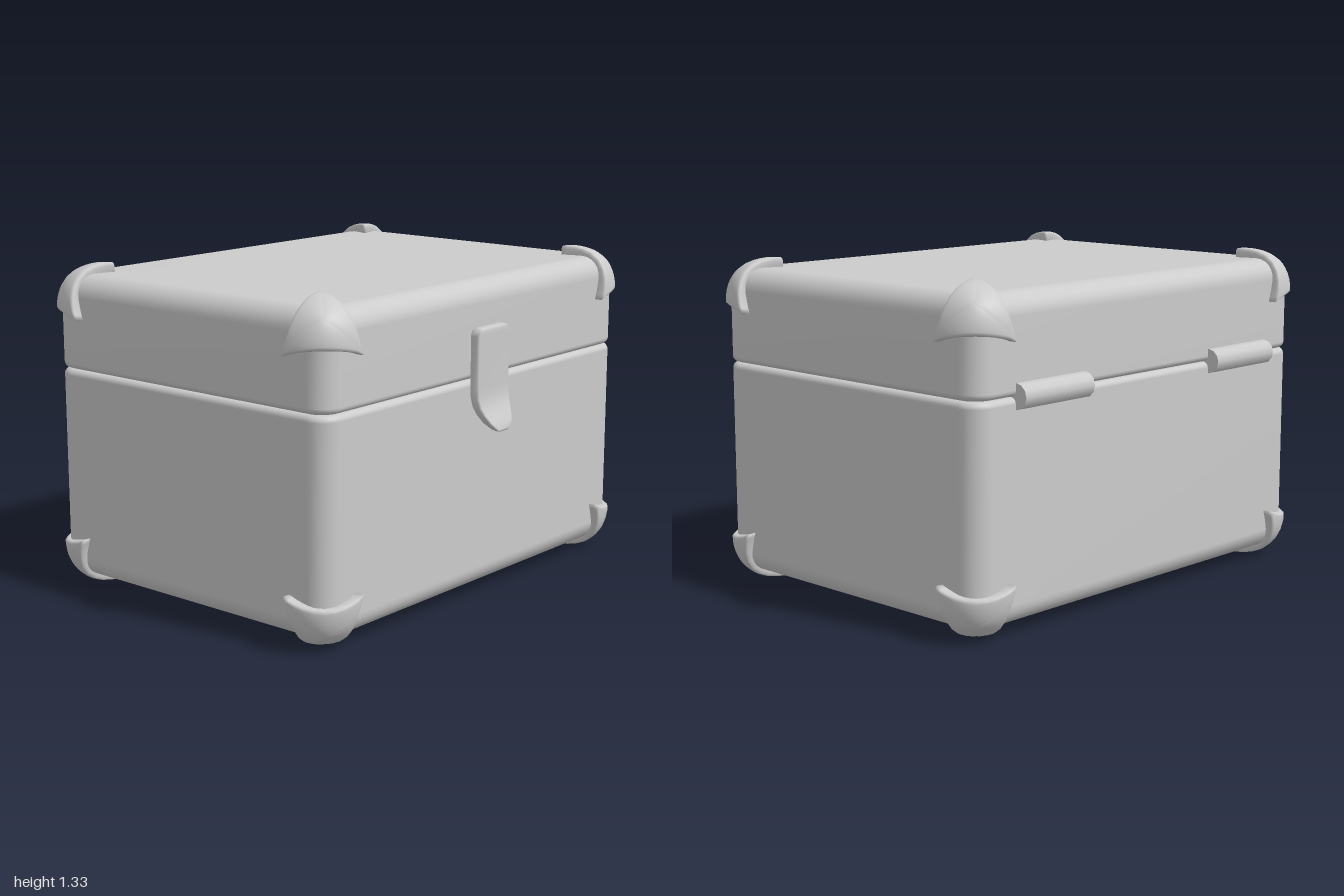
import * as THREE from 'three';

const grey = new THREE.MeshStandardMaterial({ color: 0xcccccc });

// Skin a stack of equal-length rings of points and close both ends.
function loft(rings, flip = false) {
  const n = rings[0].length, pos = [], idx = [];
  const tri = (a, b, c) => (flip ? idx.push(a, c, b) : idx.push(a, b, c));
  rings.forEach(r => r.forEach(p => pos.push(...p)));
  for (let i = 0; i < rings.length - 1; i++) {
    for (let j = 0; j < n; j++) {
      const a = i * n + j, b = i * n + (j + 1) % n;
      tri(a, a + n, b);
      tri(b, a + n, b + n);
    }
  }
  [rings[0], rings[rings.length - 1]].forEach((ring, e) => {
    const c = pos.length / 3, base = e * (rings.length - 1) * n;
    for (let k = 0; k < 3; k++) pos.push(ring.reduce((s, p) => s + p[k], 0) / n);
    for (let j = 0; j < n; j++) {
      const a = base + j, b = base + (j + 1) % n;
      e ? tri(c, b, a) : tri(c, a, b);
    }
  });
  const g = new THREE.BufferGeometry();
  g.setAttribute('position', new THREE.Float32BufferAttribute(pos, 3));
  g.setIndex(idx);
  g.computeVertexNormals();
  return g;
}

// Case dimensions
const W = 0.96, D = 0.72, CZ = -0.025, BOTTOM = 0.042, TOP = 1.29, R = 0.088;

// Horizontal rounded rectangle, moved inwards by inset
function rectRing(y, inset) {
  const r = Math.max(R - inset, 0.002), ring = [], steps = 6;
  [[1, 1], [-1, 1], [-1, -1], [1, -1]].forEach(([sx, sz], q) => {
    for (let k = 0; k <= steps; k++) {
      const t = (q + k / steps) * Math.PI / 2;
      ring.push([sx * (W - inset - r) + r * Math.cos(t), y, CZ + sz * (D - inset - r) + r * Math.sin(t)]);
    }
  });
  return ring;
}

// Box with different rounding at its lower and upper edges
function roundedCase(y0, y1, r0, r1) {
  const rings = [], steps = 6;
  for (let k = 0; k <= steps; k++) {
    const t = k / steps * Math.PI / 2;
    rings.push(rectRing(y0 + r0 * (1 - Math.cos(t)), r0 * (1 - Math.sin(t))));
  }
  for (let k = 0; k <= steps; k++) {
    const t = k / steps * Math.PI / 2;
    rings.push(rectRing(y1 - r1 * (1 - Math.sin(t)), r1 * (1 - Math.cos(t))));
  }
  return loft(rings);
}

// Three-pointed domed guard for one corner of the case
function cornerGuard(sx, sy, sz) {
  const size = 0.215, inset = 0.175, power = 2.7, perEdge = 10;
  const rows = [[0.12, 1], [0.3, 1], [0.5, 1], [0.7, 1], [0.85, 1], [0.94, 0.995], [0.985, 0.97], [1, 0.93], [0.99, 0.74]];
  const centre = [sx * (W - inset), sy > 0 ? TOP - inset : BOTTOM + inset, CZ + sz * (D - inset)];
  const sign = [sx, sy, sz];
  const rings = rows.map(([r, scale]) => {
    const ring = [];
    for (let e = 0; e < 3; e++) {
      for (let k = 0; k < perEdge; k++) {
        const b = [0, 0, 0];
        b[e] = 1 - k / perEdge;
        b[(e + 1) % 3] = k / perEdge;
        const [u, v, w] = b.map(q => 1 / 3 + (q - 1 / 3) * r);
        // bow the three edges in towards the corner
        const d = [u + 0.4 * v * w, v + 0.4 * u * w, w + 0.4 * u * v];
        const len = d.reduce((s, q) => s + Math.max(q, 0) ** power, 0) ** (1 / power);
        ring.push(d.map((q, i) => centre[i] + sign[i] * q / len * size * scale));
      }
    }
    return ring;
  });
  return loft(rings, sx * sy * sz < 0);
}

// Clasp plate: height, half width, depth position, half thickness
function claspPlate() {
  const rows = [
    [0.704, 0.03, 0.782, 0.010], [0.712, 0.045, 0.778, 0.019], [0.74, 0.073, 0.761, 0.023],
    [0.77, 0.09, 0.744, 0.023], [0.80, 0.1, 0.730, 0.022], [0.835, 0.105, 0.722, 0.021],
    [0.88, 0.105, 0.719, 0.021], [1.085, 0.105, 0.719, 0.021], [1.102, 0.098, 0.719, 0.021],
    [1.111, 0.086, 0.719, 0.019], [1.115, 0.078, 0.719, 0.013],
  ];
  return loft(rows.map(([y, w, z, h]) => {
    const b = 0.008;
    return [[w, h - b], [w - b, h], [b - w, h], [-w, h - b], [-w, b - h], [b - w, -h], [w - b, -h], [w, b - h]]
      .map(([px, pz]) => [px, y, z + pz]);
  }));
}

export function createModel() {
  const model = new THREE.Group();
  model.name = 'chest';
  const add = (name, geometry) => {
    const mesh = new THREE.Mesh(geometry, grey);
    mesh.name = name;
    model.add(mesh);
    return mesh;
  };

  add('body', roundedCase(BOTTOM, 0.906, R, 0.025));
  add('lid', roundedCase(0.908, TOP, 0.025, R));
  add('clasp', claspPlate());

  // Corner guards
  for (const sx of [1, -1]) for (const sy of [1, -1]) for (const sz of [1, -1]) {
    add(`${sy > 0 ? 'top' : 'bottom'}${sz > 0 ? 'Front' : 'Back'}${sx > 0 ? 'Left' : 'Right'}Corner`, cornerGuard(sx, sy, sz));
  }

  // Hinge barrels along the back seam
  for (const sx of [1, -1]) {
    const hinge = add(sx > 0 ? 'leftHinge' : 'rightHinge', new THREE.CylinderGeometry(0.05, 0.05, 0.375, 12));
    hinge.rotation.z = Math.PI / 2;
    hinge.position.set(sx * 0.565, 0.91, -0.747);
  }
  return model;
}
